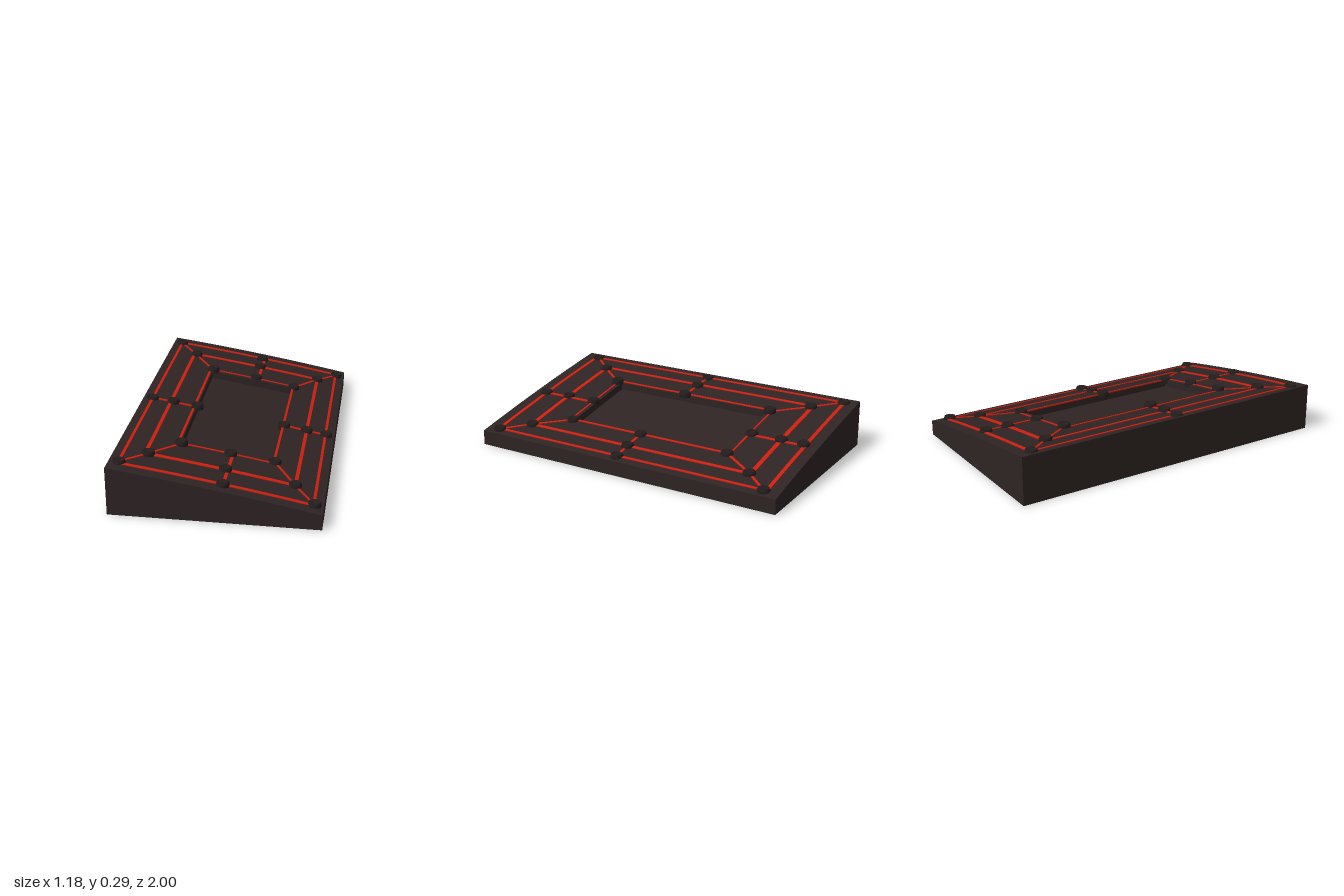
import * as THREE from 'three';

const HALF_W = 0.59;
const mat = (name, color) => Object.assign(new THREE.MeshStandardMaterial({ color }), { name });

// Height of the sloping, slightly crowned top at x
const slope = x => 0.188 - 0.165 * x + 0.01 * (1 - (x / HALF_W) ** 2);

// Block between two corners on the floor plan, its top following the slope
function slab(x0, x1, z0, z1, drop = 0) {
  const g = new THREE.BoxGeometry(x1 - x0, 1, z1 - z0, 8, 1, 1);
  g.translate((x0 + x1) / 2, 0.5, (z0 + z1) / 2);
  const p = g.attributes.position;
  for (let i = 0; i < p.count; i++) p.setY(i, p.getY(i) > 0.5 ? slope(p.getX(i)) - drop : 0);
  g.computeVertexNormals();
  return g;
}

// Thin line laid on the slope from a to b
function line(a, b, width) {
  const dx = b[0] - a[0], dz = b[1] - a[1];
  const g = new THREE.BoxGeometry(Math.hypot(dx, dz), 0.008, width, 6, 1, 1);
  g.rotateY(-Math.atan2(dz, dx));
  g.translate((a[0] + b[0]) / 2, 0, (a[1] + b[1]) / 2);
  const p = g.attributes.position;
  for (let i = 0; i < p.count; i++) p.setY(i, p.getY(i) + slope(p.getX(i)));
  g.computeVertexNormals();
  return g;
}

export function createModel() {
  const group = new THREE.Group();
  const bodyMat = mat('dark board', 0x2e2423);
  const lineMat = mat('red line', 0xcc2010);
  const pegMat = mat('peg black', 0x231d1c);
  const add = (name, geometry, material) => {
    const m = new THREE.Mesh(geometry, material);
    m.name = name;
    group.add(m);
    return m;
  };

  // Wedge-shaped board around a sunken tray
  const L = -0.26, R = 0.27, Z = 0.53;
  add('boardBack', slab(-HALF_W, HALF_W, -1, -Z), bodyMat);
  add('boardFront', slab(-HALF_W, HALF_W, Z, 1), bodyMat);
  add('boardHighSide', slab(-HALF_W, L, -Z, Z), bodyMat);
  add('boardLowSide', slab(R, HALF_W, -Z, Z), bodyMat);
  add('trayFloor', slab(L, R, -Z, Z, 0.045), bodyMat);

  // Eight peg positions per ring, clockwise from the back left corner
  const rings = [
    [[-0.535, -0.915], [0.028, -0.905], [0.538, -0.902], [0.538, 0.045],
      [0.538, 0.91], [0.04, 0.92], [-0.535, 0.9], [-0.535, 0.035]],
    [[-0.405, -0.755], [0.028, -0.765], [0.418, -0.755], [0.418, 0.048],
      [0.418, 0.75], [0.028, 0.75], [-0.405, 0.75], [-0.405, 0.04]],
    [[-0.255, -0.55], [0.028, -0.573], [0.28, -0.542], [0.28, 0.045],
      [0.28, 0.538], [0.028, 0.56], [-0.255, 0.56], [-0.255, 0.048]],
  ];
  // Line rectangles: left, right, back, front, then side and end widths
  const frames = [
    [-0.535, 0.535, -0.92, 0.918, 0.016, 0.023],
    [-0.42, 0.42, -0.765, 0.752, 0.02, 0.027],
    [-0.274, 0.276, -0.56, 0.555, 0.014, 0.012],
  ];
  for (const [l, r, b, f, side, end] of frames) {
    for (const x of [l, r]) add('sideLine', line([x, b], [x, f], side), lineMat);
    for (const z of [b, f]) add('endLine', line([l, z], [r, z], end), lineMat);
  }

  // Lines joining the rings at corners and midpoints
  for (let r = 0; r < 2; r++) {
    for (let i = 0; i < 8; i++) {
      const shift = i === 1 || i === 5 ? 0.015 : 0;
      const [a, b] = [rings[r][i], rings[r + 1][i]];
      const from = shift ? [0.043, a[1]] : a, to = shift ? [0.043, b[1]] : b;
      add('linkLine', line(from, to, i % 2 ? 0.018 : 0.014), lineMat);
    }
  }

  // Round level pegs with a bevelled rim and a shallow dish
  const profile = [[0.038, -0.032], [0.038, -0.01], [0.034, -0.008], [0.033, 0],
    [0.029, 0], [0.022, -0.006], [0, -0.006]].map(p => new THREE.Vector2(...p));
  const pegGeo = new THREE.LatheGeometry(profile, 20);
  const rise = [0.014, 0.02, 0.025];
  rings.forEach((ring, r) => ring.forEach(([x, z]) => {
    const up = x < 0 ? rise[r] : 0.017;
    add('peg', pegGeo, pegMat).position.set(x, slope(x) + up, z);
  }));

  return group;
}
